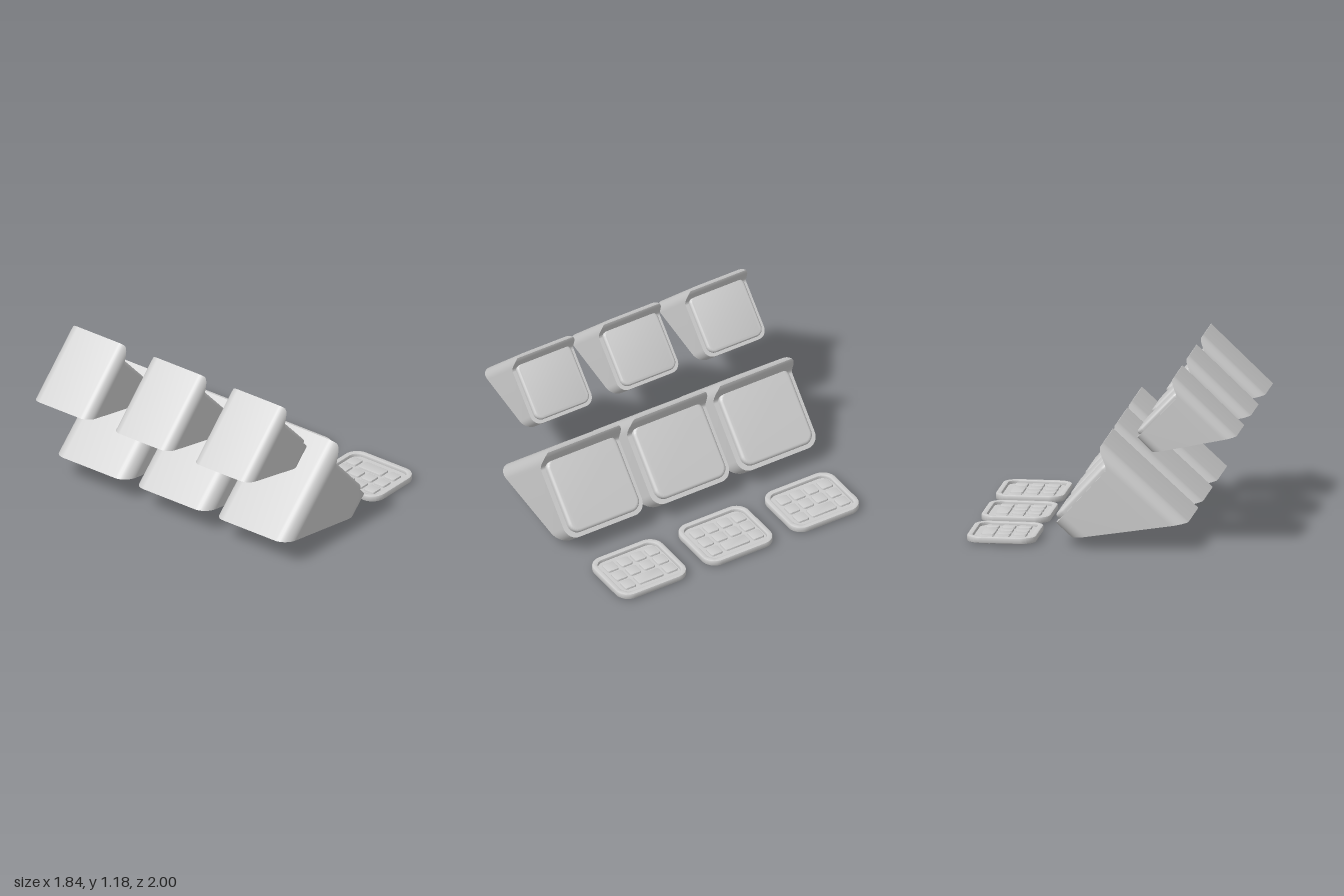
import * as THREE from 'three';
import { toCreasedNormals } from 'three/addons/utils/BufferGeometryUtils.js';

const grey = new THREE.MeshStandardMaterial({ color: 0xcccccc });

function named(geometry, name) {
  const mesh = new THREE.Mesh(toCreasedNormals(geometry, 0.6), grey);
  mesh.name = name;
  return mesh;
}

// Rounded rectangle centred on the origin
function roundedRect(w, h, r, Type = THREE.Shape) {
  const s = new Type(), x = w / 2, y = h / 2;
  s.moveTo(x, y - r);
  s.absarc(x - r, y - r, r, 0, Math.PI / 2);
  s.absarc(r - x, y - r, r, Math.PI / 2, Math.PI);
  s.absarc(r - x, r - y, r, Math.PI, Math.PI * 1.5);
  s.absarc(x - r, r - y, r, Math.PI * 1.5, Math.PI * 2);
  return s;
}

// Slab of total size w x h x depth with a bevelled edge, standing on z = 0
function slab(w, h, r, depth, bevel, steps = 2, hole = null) {
  const shape = roundedRect(w - 2 * bevel, h - 2 * bevel, r - bevel);
  if (hole) shape.holes.push(hole);
  return new THREE.ExtrudeGeometry(shape, {
    depth: depth - 2 * bevel, bevelThickness: bevel, bevelSize: bevel,
    bevelSegments: steps, curveSegments: 7,
  }).translate(0, 0, bevel);
}

// Housing: rounded square prism, cut obliquely behind, with a visor lip in front.
// Local x runs from the top face down, y across, z out through the screen.
function housingGeometry({ size, half, cut, rim, scale }) {
  const r = 0.09 * scale, corner = [], slices = [];
  for (let i = 0; i <= 8; i++) {
    const t = (i / 8) * Math.PI / 2;
    corner.push([r * (1 - Math.cos(t)), half - r + r * Math.sin(t)]);
  }
  slices.push(...corner);
  for (let i = 1; i <= 4; i++) slices.push([r + i * 0.0085 * scale, half]);
  slices.push(...corner.map(([a, h]) => [size - a, h]).reverse());

  const pos = [], index = [];
  for (const [a, h] of slices) {
    const back = cut * a;
    const front = rim + 0.14 * scale * (1 - THREE.MathUtils.smoothstep(a / scale, 0.02, 0.12));
    pos.push(a, -h, back, a, h, back, a, h, front, a, -h, front);
  }
  const quad = (a, b, c, d) => index.push(a, b, c, a, c, d);
  for (let i = 0; i < slices.length - 1; i++) {
    for (let j = 0; j < 4; j++) {
      const k = (j + 1) % 4, n = i * 4;
      quad(n + j, n + k, n + 4 + k, n + 4 + j);
    }
  }
  const e = pos.length / 3 - 4;
  quad(0, 3, 2, 1);
  quad(e, e + 1, e + 2, e + 3);
  const g = new THREE.BufferGeometry();
  g.setAttribute('position', new THREE.Float32BufferAttribute(pos, 3));
  g.setIndex(index);
  return g;
}

function createMonitor(name, p) {
  const group = new THREE.Group();
  group.name = name;
  group.add(named(housingGeometry(p), name + 'Housing'));

  // Raised screen seated under the visor
  const s = p.scale, top = 0.06 * s, bottom = p.size - 0.03 * s;
  const screen = named(slab(bottom - top, 2 * p.half - 0.066 * s, 0.075 * s, 0.08 * s, 0.022 * s, 4), name + 'Screen');
  screen.position.set((top + bottom) / 2, 0, p.rim - 0.04 * s);
  group.add(screen);

  // Tilt so the screen faces forward and up
  const c = Math.cos(p.tilt), n = Math.sin(p.tilt);
  group.quaternion.setFromRotationMatrix(new THREE.Matrix4().makeBasis(
    new THREE.Vector3(n, -c, 0), new THREE.Vector3(0, 0, -1), new THREE.Vector3(c, n, 0)));
  group.position.set(p.x, p.y, 0);
  return group;
}

function createKeypad() {
  const group = new THREE.Group();
  group.name = 'keypad';
  const add = (geometry, name, x, y, z) => {
    const mesh = named(geometry.rotateX(-Math.PI / 2), name);
    mesh.position.set(x, y, z);
    group.add(mesh);
  };
  // Frame and recessed plate
  add(slab(0.47, 0.544, 0.1, 0.043, 0.008, 2, roundedRect(0.41, 0.484, 0.075, THREE.Path)), 'keypadFrame', 0, 0.012, 0);
  add(slab(0.44, 0.514, 0.088, 0.012, 0.001, 1), 'keypadPlate', 0, 0.02, 0);

  // Keys: three columns, the right one with a double-length key
  const key = (x, z, length) => add(slab(0.088, length, 0.016, 0.046, 0.006), 'key', x, 0, z);
  const rows = [-0.175, -0.065, 0.045, 0.155];
  for (const x of [-0.115, -0.005]) for (const z of rows) key(x, z, 0.088);
  key(0.105, rows[0], 0.088);
  key(0.105, (rows[1] + rows[2]) / 2, 0.198);
  key(0.105, rows[3], 0.088);
  group.position.set(0.68, 0, -0.015);
  return group;
}

export function createModel() {
  const model = new THREE.Group();
  model.name = 'consoleStations';
  for (const i of [-1, 0, 1]) {
    const station = new THREE.Group();
    station.name = 'station';
    station.add(
      createMonitor('lowerMonitor', { x: -0.6, y: 0.19, tilt: 0.74, size: 0.632, half: 0.312, cut: 0.8, rim: 0.645, scale: 1 }),
      createMonitor('upperMonitor', { x: -0.92, y: 0.78, tilt: 0.759, size: 0.487, half: 0.242, cut: 0.685, rim: 0.472, scale: 0.77 }),
      createKeypad(),
    );
    station.position.z = i * 0.688;
    model.add(station);
  }
  return model;
}
